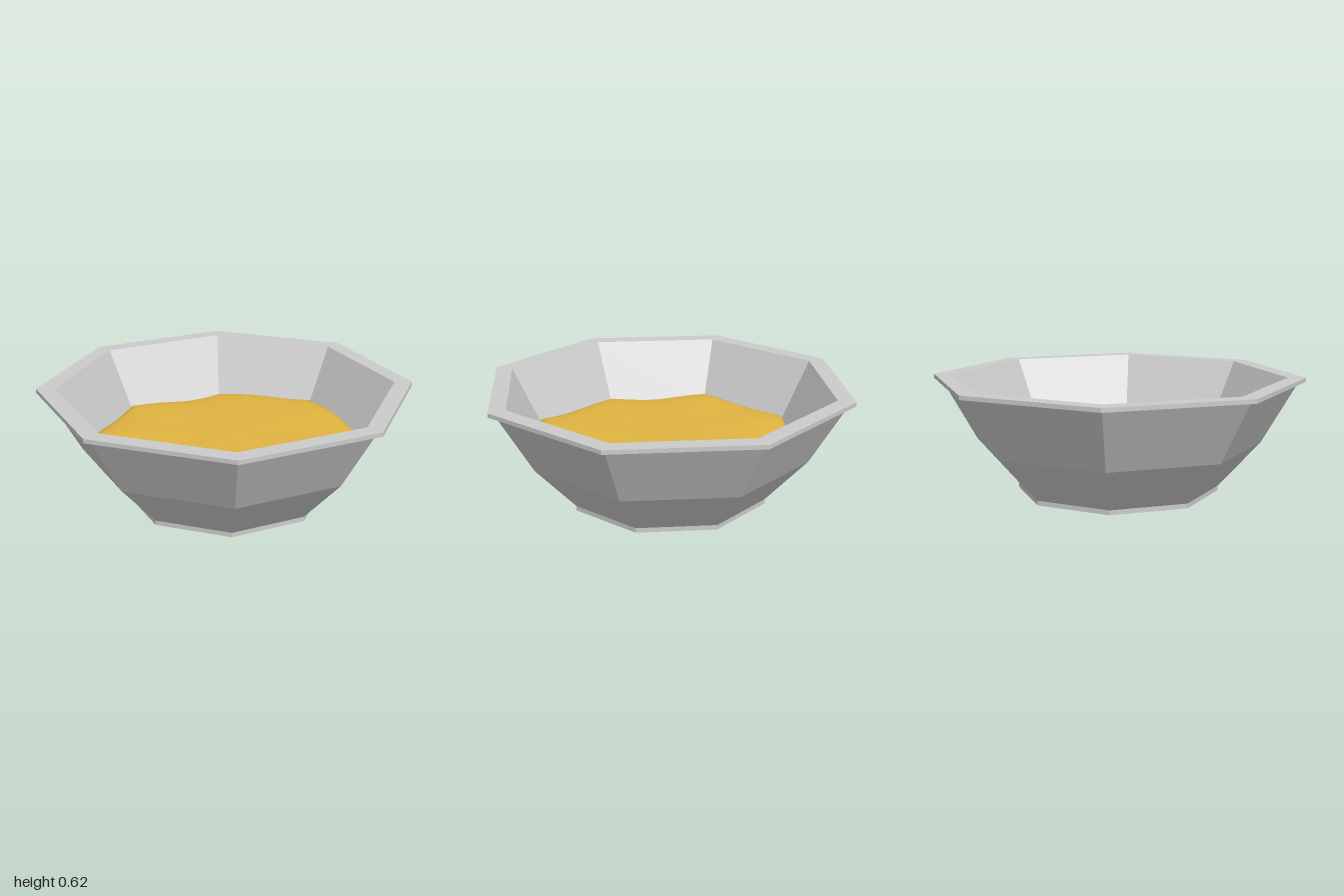
import * as THREE from 'three';

const SIDES = 8;

// Faceted bowl: closed profile of foot, two-stage wall, flat rim and inside
function makeBowl() {
  const profile = [
    [0, 0], [0.545, 0], [0.545, 0.025], [0.77, 0.27], [0.963, 0.6], [1, 0.6],
    [1, 0.622], [0.905, 0.622], [0.715, 0.27], [0.5, 0.05], [0, 0.05],
  ].map(([r, y]) => new THREE.Vector2(r, y));
  const bowl = new THREE.Mesh(
    new THREE.LatheGeometry(profile, SIDES),
    new THREE.MeshStandardMaterial({ color: 0xcccccc, flatShading: true })
  );
  bowl.name = 'bowl';
  return bowl;
}

// Ratio of an octagon's radius to its corner radius at an angle
function octagon(a) {
  const step = (2 * Math.PI) / SIDES;
  return Math.cos(step / 2) / Math.cos((a % step) - step / 2);
}

// Soft, slightly lumpy filling that meets the inner wall and rounds off at the edge
function makeFilling() {
  const segments = 64;
  // [share of the edge radius, height above the edge]
  const rings = [
    [0, 0.02], [0.15, 0.02], [0.3, 0.02], [0.45, 0.02], [0.6, 0.02],
    [0.74, 0.02], [0.85, 0.018], [0.93, 0.012], [0.98, 0], [1, -0.025],
  ];
  const positions = [];
  const index = [];
  rings.forEach(([share, lift], i) => {
    for (let j = 0; j < segments; j++) {
      const a = (j / segments) * Math.PI * 2;
      const wave = 0.012 * Math.sin(3 * a + 1) + 0.007 * Math.sin(7 * a) + 0.012 * Math.sin(a + 0.6);
      const edgeY = 0.325 + wave;
      const r = (0.905 - (0.622 - edgeY) * 0.54) * octagon(a) * share;
      const x = r * Math.sin(a);
      const z = r * Math.cos(a);
      const lumps = 0.004 * Math.sin(9 * x + 1) * Math.cos(8 * z) * (1 - share * share);
      positions.push(x, 0.325 + wave * share * share + lift + lumps, z);
      if (i < rings.length - 1) {
        const k = (j + 1) % segments;
        const p = i * segments + j, q = i * segments + k;
        index.push(p, p + segments, q + segments);
        if (i > 0) index.push(p, q + segments, q);
      }
    }
  });
  // The centre is a single shared point
  const centred = index.map((n) => (n < segments ? 0 : n));
  const geometry = new THREE.BufferGeometry();
  geometry.setAttribute('position', new THREE.Float32BufferAttribute(positions, 3));
  geometry.setIndex(centred);
  geometry.computeVertexNormals();
  const filling = new THREE.Mesh(
    geometry,
    new THREE.MeshStandardMaterial({ color: 0xe0b440, side: THREE.DoubleSide })
  );
  filling.name = 'filling';
  return filling;
}

export function createModel() {
  const group = new THREE.Group();
  group.name = 'filledBowl';
  group.add(makeBowl(), makeFilling());
  return group;
}
